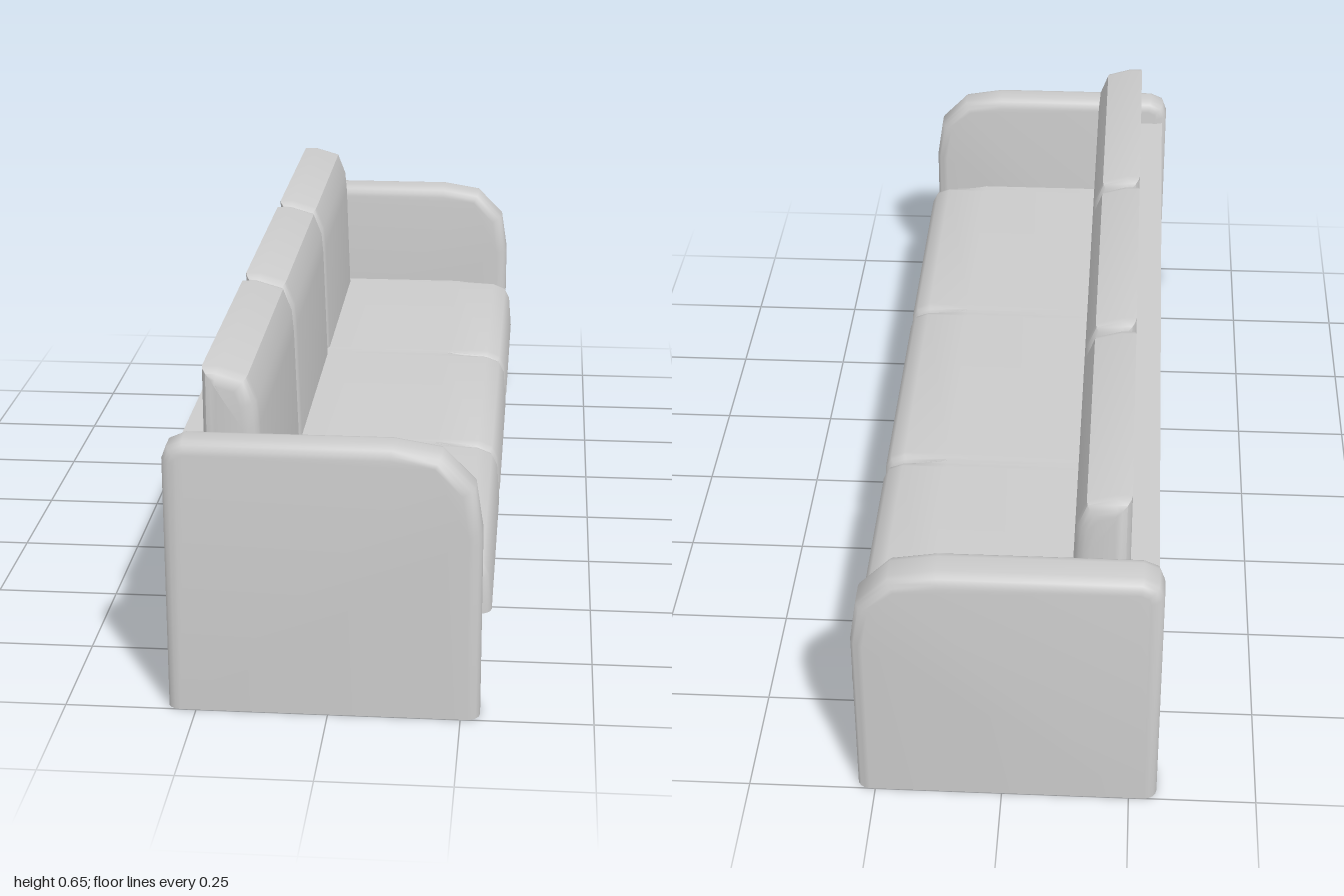
import * as THREE from 'three';
import { toCreasedNormals } from 'three/addons/utils/BufferGeometryUtils.js';

const material = new THREE.MeshStandardMaterial({ color: 0xcccccc });

// Side profile (x, y) extruded from z0 to z1 with rounded rims and a flat underside.
// adjust(x, y) may return a new height for a vertex.
function padded(name, profile, z0, z1, bevel, adjust) {
  const shape = new THREE.Shape(profile.map(([x, y]) => new THREE.Vector2(x, y)));
  const geo = new THREE.ExtrudeGeometry(shape, {
    depth: z1 - z0 - 2 * bevel,
    bevelSize: bevel, bevelThickness: bevel, bevelOffset: -bevel, bevelSegments: 4,
  });
  geo.translate(0, 0, z0 + bevel);
  const bottom = Math.min(...profile.map((p) => p[1]));
  const pos = geo.attributes.position;
  for (let i = 0; i < pos.count; i++) {
    const x = pos.getX(i), y = pos.getY(i);
    if (y < bottom + bevel + 0.002) pos.setY(i, bottom);
    else if (adjust) pos.setY(i, adjust(x, y));
  }
  const mesh = new THREE.Mesh(toCreasedNormals(geo, 0.9), material);
  mesh.name = name;
  return mesh;
}

// Plain box given by its two opposite corners
function block(name, [x0, y0, z0], [x1, y1, z1]) {
  const mesh = new THREE.Mesh(new THREE.BoxGeometry(x1 - x0, y1 - y0, z1 - z0), material);
  mesh.position.set((x0 + x1) / 2, (y0 + y1) / 2, (z0 + z1) / 2);
  mesh.name = name;
  return mesh;
}

export function createModel() {
  const sofa = new THREE.Group();
  sofa.name = 'sofa';

  // Frame: seat base and back panel
  sofa.add(block('seatBase', [-0.29, 0.02, -0.92], [0.268, 0.182, 0.93]));
  sofa.add(block('backPanel', [-0.295, 0.02, -0.92], [-0.24, 0.484, 0.93]));

  // Armrests with a rounded front top
  const arm = [
    [-0.305, 0], [0.286, 0], [0.286, 0.37], [0.272, 0.462], [0.21, 0.525],
    [0.12, 0.54], [-0.265, 0.54], [-0.295, 0.527], [-0.305, 0.5],
  ];
  sofa.add(padded('rightArm', arm, 0.92, 1, 0.025));
  sofa.add(padded('leftArm', arm, -1, -0.908, 0.025));

  // Three seat and three back cushions; seat tops run level behind the front roll
  const seat = [
    [-0.2, 0.18], [0.303, 0.18], [0.297, 0.255], [0.285, 0.278],
    [0.255, 0.29], [0.16, 0.29], [-0.2, 0.29],
  ];
  const back = [
    [-0.24, 0.18], [-0.122, 0.18], [-0.125, 0.3], [-0.133, 0.54],
    [-0.137, 0.587], [-0.155, 0.634], [-0.21, 0.65], [-0.24, 0.65],
  ];
  const width = 0.606;
  for (let i = -1; i <= 1; i++) {
    const z0 = 0.007 + (i - 0.5) * width, z1 = z0 + width;
    sofa.add(padded('seatCushion', seat, z0, z1, 0.025, (x, y) => (x < 0.17 ? 0.29 : y)));
    sofa.add(padded('backCushion', back, z0, z1, 0.03));
  }
  return sofa;
}
